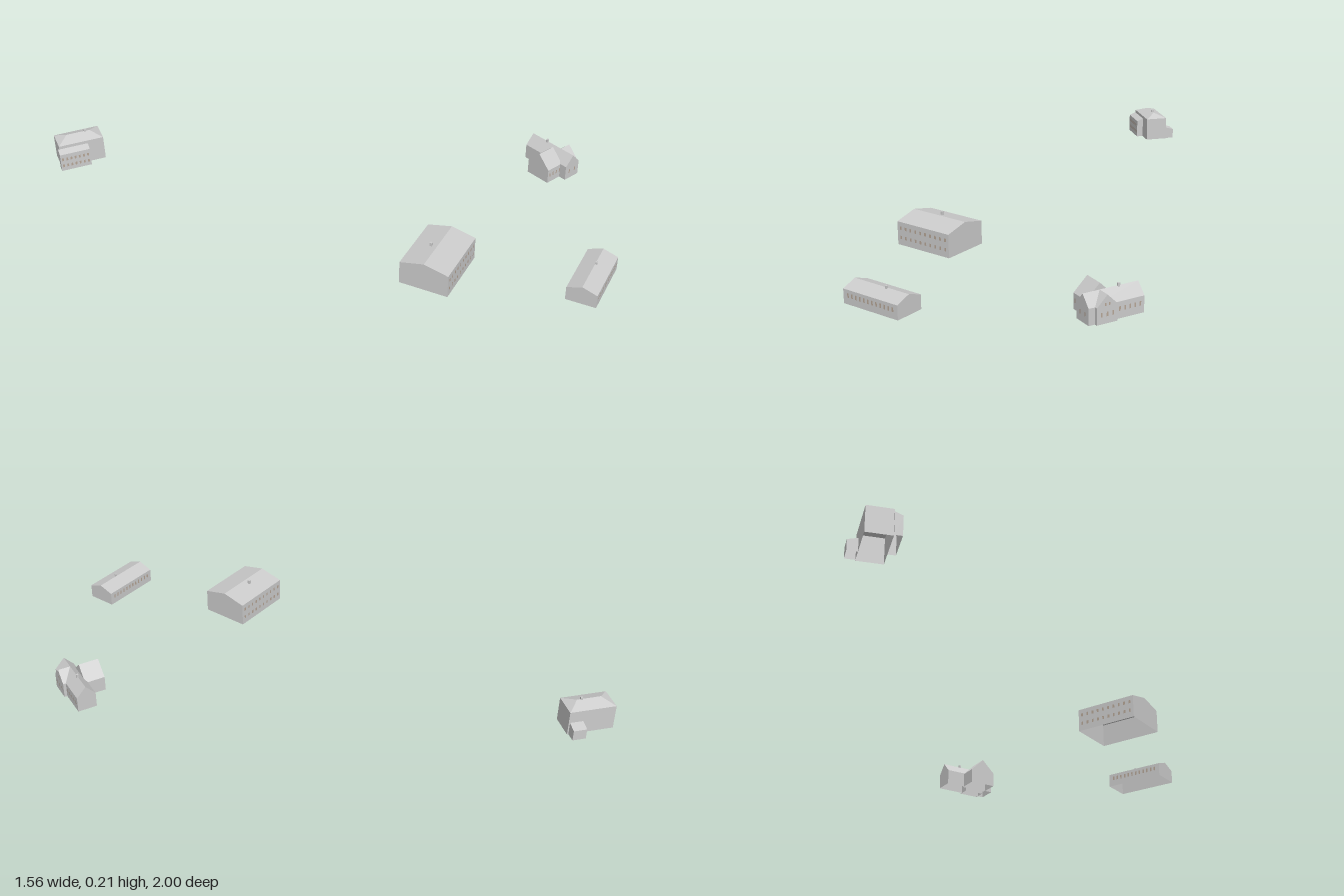
import * as THREE from 'three';

const grey = new THREE.MeshStandardMaterial({ color: 0xcccccc, flatShading: true, side: THREE.DoubleSide });
const pane = new THREE.MeshStandardMaterial({ color: 0xb5a596 });

// Flat polygons, each a counter-clockwise loop of [x, y, z] corners
function polygons(faces) {
  const pos = [];
  for (const f of faces) {
    for (let i = 1; i < f.length - 1; i++) pos.push(...f[0], ...f[i], ...f[i + 1]);
  }
  const geo = new THREE.BufferGeometry();
  geo.setAttribute('position', new THREE.Float32BufferAttribute(pos, 3));
  geo.computeVertexNormals();
  return geo;
}

function add(parent, name, geo, mat, x = 0, y = 0, z = 0) {
  const mesh = new THREE.Mesh(geo, mat);
  mesh.name = name;
  mesh.position.set(x, y, z);
  parent.add(mesh);
  return mesh;
}

function group(parent, name, x, y, z, turn) {
  const g = new THREE.Group();
  g.name = name;
  g.position.set(x, y, z);
  g.rotation.y = turn;
  parent.add(g);
  return g;
}

// Walls and roof with the ridge along x; hip pulls the ridge ends inward.
// The underside stays open.
function block(parent, name, L, W, eave, ridge, hip = 0) {
  const a = L / 2, w = W / 2, r = a - hip;
  const base = [[-a, 0, w], [a, 0, w], [a, 0, -w], [-a, 0, -w]];
  const top = base.map(([x, , z]) => [x, eave, z]);
  const walls = base.map((p, i) => [p, base[(i + 1) % 4], top[(i + 1) % 4], top[i]]);
  const e0 = [-r, ridge, 0], e1 = [r, ridge, 0];
  const slopes = [[top[0], top[1], e1, e0], [top[2], top[3], e0, e1]];
  const ends = [[top[1], top[2], e1], [top[3], top[0], e0]];
  if (hip) slopes.push(...ends);
  else walls.push(...ends);
  add(parent, name + 'Walls', polygons(walls), grey);
  add(parent, name + 'Roof', polygons(slopes), grey);
}

// Lean-to whose roof falls towards +z
function leanTo(parent, name, L, D, high, low) {
  const a = L / 2, d = D / 2;
  const A = [-a, 0, d], B = [a, 0, d], C = [a, 0, -d], E = [-a, 0, -d];
  const up = (p, y) => [p[0], y, p[2]];
  const fa = up(A, low), fb = up(B, low), bc = up(C, high), be = up(E, high);
  add(parent, name + 'Walls', polygons([[A, B, fb, fa], [B, C, bc, fb], [C, E, be, bc], [E, A, fa, be]]), grey);
  add(parent, name + 'Roof', polygons([[fa, fb, bc, be]]), grey);
}

function chimney(parent, x, z, bottom, top, size = 0.009) {
  add(parent, 'chimney', new THREE.BoxGeometry(size, top - bottom, size), grey, x, (top + bottom) / 2, z);
}

// Row of thin panes, evenly spread along one wall facing +z (dir 1) or -z (dir -1)
function windows(parent, count, span, y, z, dir, w, h) {
  const geo = new THREE.PlaneGeometry(w, h);
  for (let i = 0; i < count; i++) {
    const x = count > 1 ? (i / (count - 1) - 0.5) * span : 0;
    const m = add(parent, 'window', geo, pane, x, y, z + dir * 0.0006);
    if (dir < 0) m.rotation.y = Math.PI;
  }
}

export function createModel() {
  const model = new THREE.Group();
  model.name = 'farmstead';

  // Large barn
  const barn = group(model, 'barn', -0.108, 0.02, 0.484, 0.35);
  block(barn, 'barn', 0.247, 0.186, 0.09, 0.112);
  chimney(barn, -0.007, -0.024, 0.1, 0.12);
  for (const dir of [1, -1]) {
    for (const y of [0.03, 0.066]) windows(barn, 10, 0.215, y, dir * 0.093, dir, 0.008, 0.013);
  }

  // Long low building
  const shed = group(model, 'longBuilding', 0.251, 0, 0.899, 0.355);
  block(shed, 'longBuilding', 0.243, 0.113, 0.053, 0.073);
  chimney(shed, 0.026, 0.003, 0.064, 0.081, 0.007);
  for (const dir of [1, -1]) windows(shed, 12, 0.2, 0.033, dir * 0.0565, dir, 0.007, 0.016);

  // House with crossing wings
  const house = group(model, 'house', 0.734, 0, 0.315, -0.053);
  const main = group(house, 'mainWing', 0, 0, 0, Math.PI / 2);
  block(main, 'mainWing', 0.215, 0.074, 0.06, 0.1);
  const left = group(house, 'rearSideWing', -0.067, 0, 0.024, 0);
  block(left, 'rearSideWing', 0.078, 0.106, 0.058, 0.11);
  const right = group(house, 'sideGable', 0.024, 0, 0.043, 0);
  block(right, 'sideGable', 0.048, 0.08, 0.06, 0.1);
  chimney(house, 0, -0.03, 0.09, 0.109, 0.008);
  windows(left, 4, 0.055, 0.033, 0.053, 1, 0.006, 0.016);
  const front = group(house, 'frontWindows', 0, 0, 0.1075, 0);
  windows(front, 2, 0.03, 0.033, 0, 1, 0.006, 0.016);
  const side = group(house, 'sideWindows', 0.037, 0, -0.052, Math.PI / 2);
  windows(side, 5, 0.08, 0.035, 0, 1, 0.006, 0.016);
  const gable = group(house, 'gableWindows', 0.048, 0, 0.043, Math.PI / 2);
  windows(gable, 3, 0.045, 0.033, 0, 1, 0.006, 0.016);
  windows(gable, 2, 0.015, 0.067, 0, 1, 0.005, 0.01);

  // Hipped house on higher ground with a front lean-to and a small rear one
  const hall = group(model, 'hippedHouse', -0.672, 0.085, -0.93, -0.342);
  block(hall, 'hippedHouse', 0.174, 0.09, 0.095, 0.113, 0.042);
  chimney(hall, 0.028, 0, 0.104, 0.121, 0.008);
  const porch = group(hall, 'frontLeanTo', -0.034, 0, 0.058, 0);
  leanTo(porch, 'frontLeanTo', 0.117, 0.027, 0.083, 0.072);
  for (const y of [0.022, 0.05]) windows(porch, 7, 0.098, y, 0.0135, 1, 0.007, 0.012);
  const annex = group(hall, 'rearLeanTo', 0.057, 0, -0.063, Math.PI);
  leanTo(annex, 'rearLeanTo', 0.05, 0.036, 0.05, 0.04);

  return model;
}
